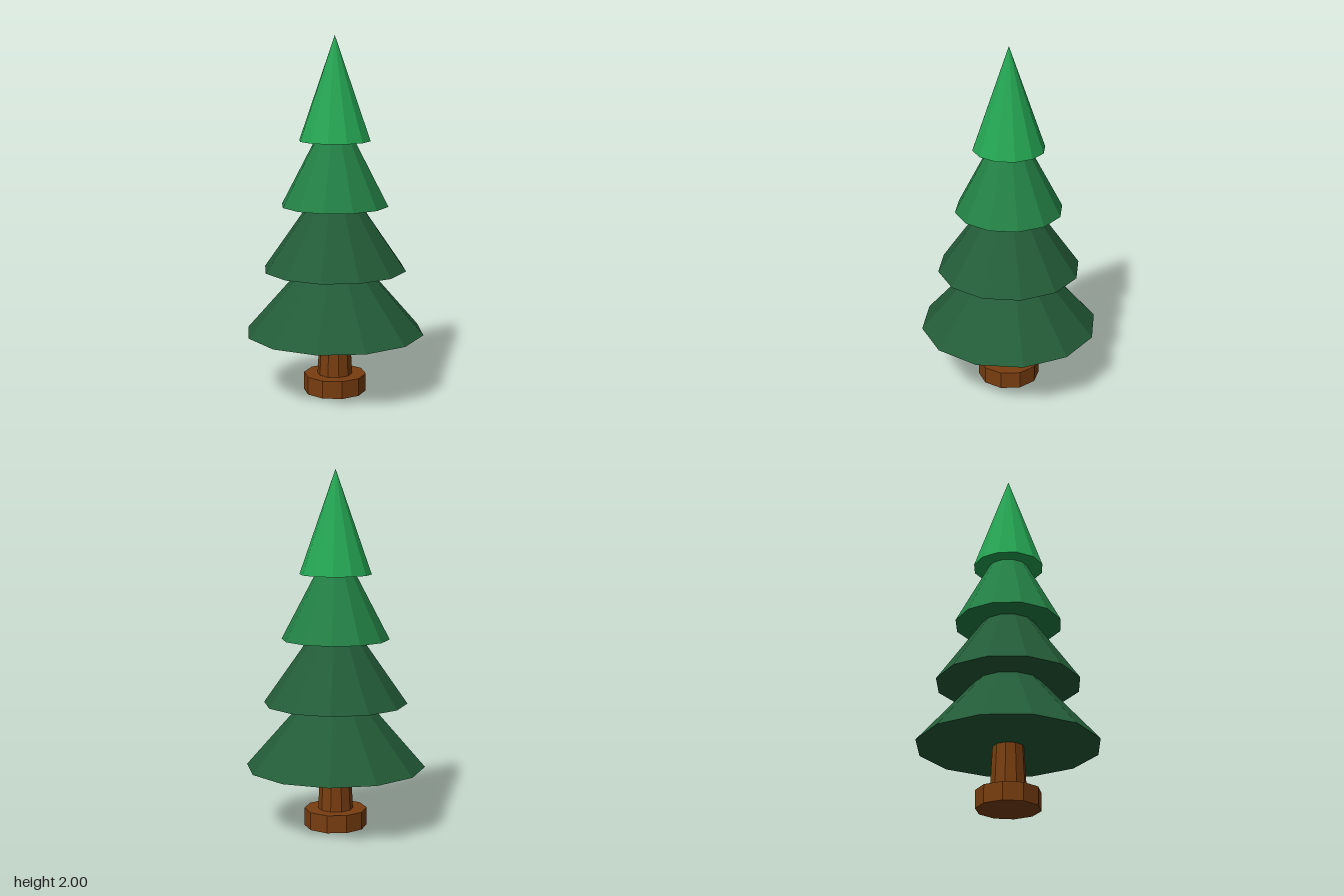
import * as THREE from 'three';

const material = (name, color) => {
  const m = new THREE.MeshStandardMaterial({ color, flatShading: true });
  m.name = name;
  return m;
};

export function createModel() {
  const tree = new THREE.Group();
  tree.name = 'pineTree';

  const bark = material('brown bark', 0x783d10);
  const dark = material('dark green', 0x235c38);
  const mid = material('mid green', 0x238045);
  const bright = material('bright green', 0x25a653);

  // Each part stands on its base height y
  const add = (name, geometry, mat, y, height) => {
    const mesh = new THREE.Mesh(geometry, mat);
    mesh.name = name;
    mesh.position.y = y + height / 2;
    tree.add(mesh);
  };

  // Ten-sided foot and tapered trunk
  add('trunkFoot', new THREE.CylinderGeometry(0.176, 0.176, 0.1, 10), bark, 0, 0.1);
  add('trunk', new THREE.CylinderGeometry(0.085, 0.099, 0.27, 10), bark, 0.09, 0.27);

  // Four overlapping twelve-sided foliage cones, narrowing upwards
  const tierHeight = 0.575;
  [dark, dark, mid, bright].forEach((mat, i) => {
    add(`foliageTier${i + 1}`, new THREE.ConeGeometry(0.503 - i * 0.101, tierHeight, 12),
      mat, 0.345 + i * 0.36, tierHeight);
  });

  return tree;
}
